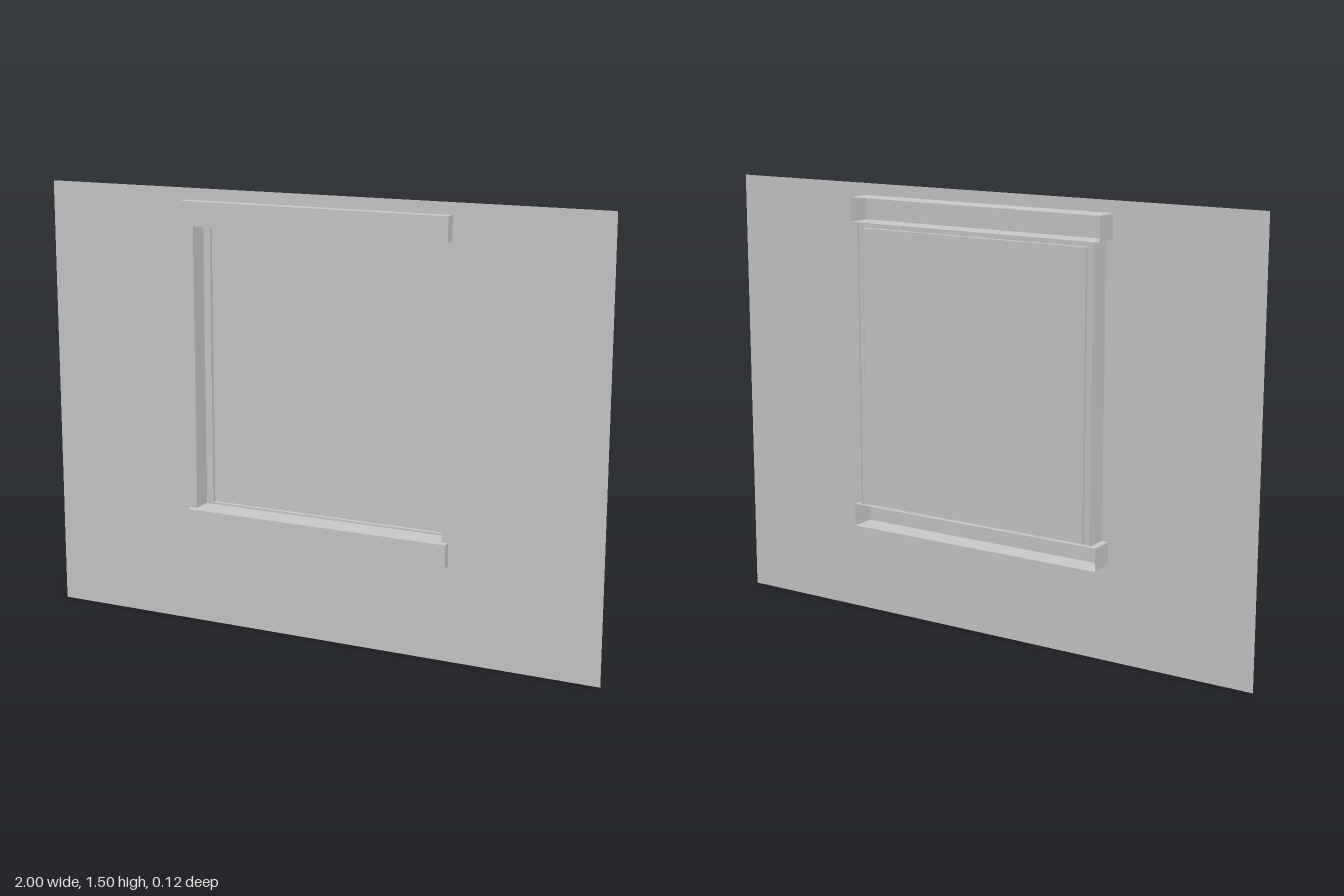
import * as THREE from 'three';

const material = new THREE.MeshStandardMaterial({ color: 0xcccccc, side: THREE.DoubleSide });

// Flat rectangle [x0, y0, x1, y1] at depth z, with an optional rectangular opening
function sheet(name, rect, z, opening) {
  const corners = ([x0, y0, x1, y1]) => [[x0, y0], [x1, y0], [x1, y1], [x0, y1]].map(p => new THREE.Vector2(...p));
  const shape = new THREE.Shape(corners(rect));
  if (opening) shape.holes.push(new THREE.Path(corners(opening)));
  const mesh = new THREE.Mesh(new THREE.ShapeGeometry(shape), material);
  mesh.position.z = z;
  mesh.name = name;
  return mesh;
}

// Box that keeps only its first faces, in the order +x, -x, +y, -y, +z, -z
function shell(name, [x0, y0, x1, y1], z0, z1, faces) {
  const geometry = new THREE.BoxGeometry(x1 - x0, y1 - y0, z1 - z0);
  geometry.setIndex(Array.from(geometry.index.array).slice(0, faces * 6));
  geometry.clearGroups();
  const mesh = new THREE.Mesh(geometry, material);
  mesh.position.set((x0 + x1) / 2, (y0 + y1) / 2, (z0 + z1) / 2);
  mesh.name = name;
  return mesh;
}

export function createModel() {
  const group = new THREE.Group();
  group.name = 'windowInWall';

  const opening = [-0.453, 0.403, 0.453, 1.378];
  const glass = [-0.428, 0.41, 0.428, 1.36];
  const wallZ = 0.024, stepZ = -0.045, backZ = -0.06;

  group.add(
    // Thin wall with the window opening
    sheet('wall', [-1, 0, 1, 1.5], wallZ, opening),
    // Side jambs lining the opening
    shell('jambs', opening, backZ + 0.005, wallZ, 2),
    // Sash: flat step around the glass and the short collar behind it
    sheet('sashFace', opening, stepZ, glass),
    shell('sashCollar', glass, backZ, stepZ, 4),
    sheet('glassPane', glass, backZ + 0.002),
    // Lintel and sill, hollow and open at the back
    shell('lintel', [-0.477, 1.378, 0.474, 1.46], backZ, 0.06, 5),
    shell('sill', [-0.477, 0.325, 0.477, 0.403], backZ, 0.05, 5),
  );
  return group;
}
